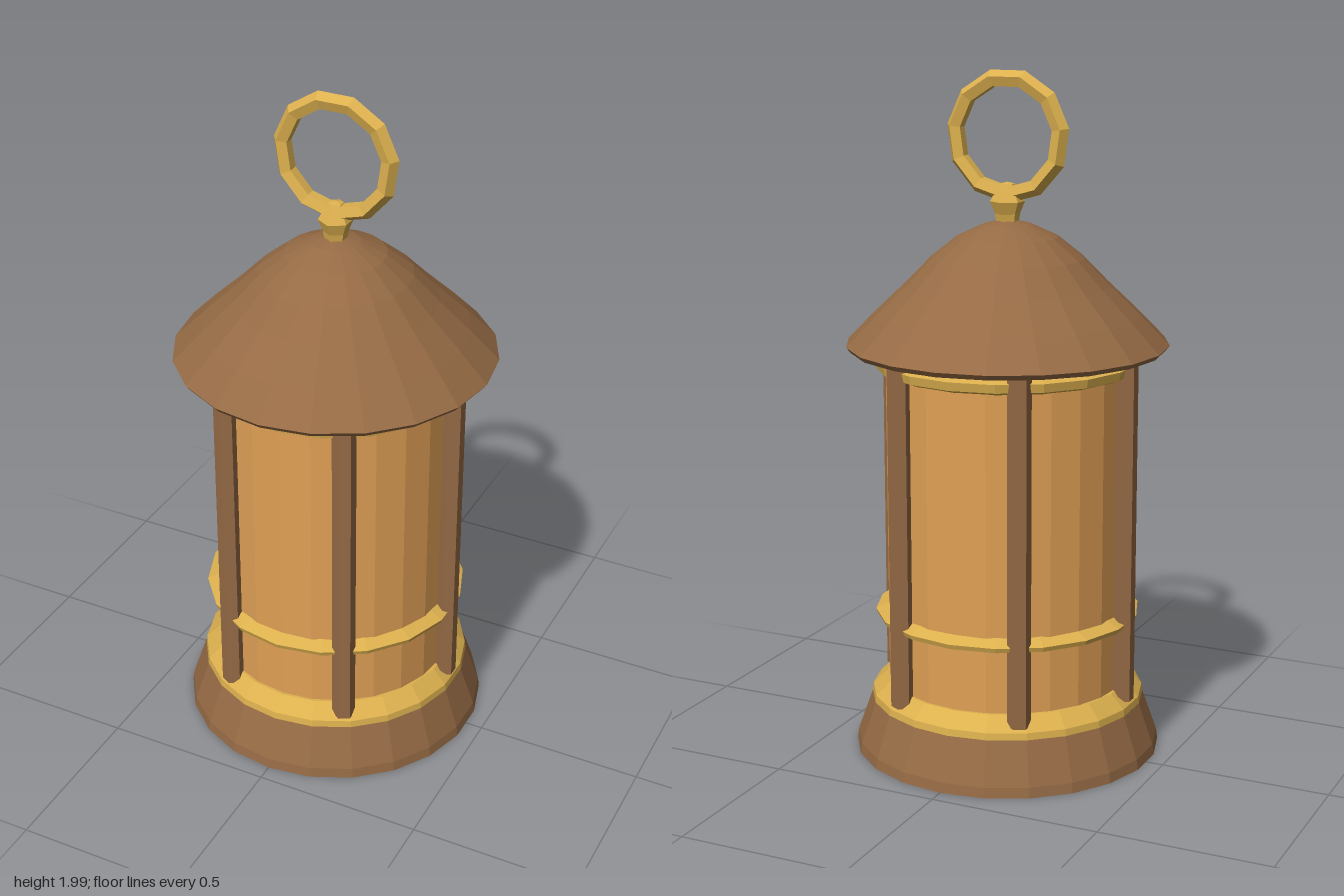
import * as THREE from 'three';

export function createModel() {
  const model = new THREE.Group();
  const material = (name, color, side = THREE.FrontSide) =>
    Object.assign(new THREE.MeshStandardMaterial({ color, flatShading: true, side }), { name });
  const wood = material('brown wood', 0x966b45);
  const brass = material('brass', 0xdcb04e);
  const amber = material('amber glass', 0xe0a055);

  const add = (name, geometry, mat, parent = model) => {
    const mesh = new THREE.Mesh(geometry, mat);
    mesh.name = name;
    parent.add(mesh);
    return mesh;
  };
  // Turned solid from [radius, height] pairs, listed from the bottom up the outside
  const turned = (name, profile, sides, mat) =>
    add(name, new THREE.LatheGeometry(profile.map(([r, y]) => new THREE.Vector2(r, y)), sides), mat);

  // Flared foot with the brass collar resting on it
  turned('base', [[0, 0], [0.452, 0], [0.448, 0.03], [0.402, 0.16], [0, 0.16]], 22, wood);
  turned('baseCollar', [[0.3, 0.155], [0.405, 0.155], [0.402, 0.175], [0.36, 0.215], [0.3, 0.215]], 22, brass);

  // Glass body
  turned('glass', [[0, 0.18], [0.352, 0.18], [0.352, 1.175], [0, 1.175]], 24, amber);

  // Thin brass bands around the glass
  turned('lowerBand', [[0.34, 0.4], [0.385, 0.408], [0.39, 0.422], [0.34, 0.445], [0.34, 0.4]], 18, brass);
  turned('upperBand', [[0.34, 1.135], [0.38, 1.15], [0.385, 1.175], [0.34, 1.188], [0.34, 1.135]], 18, brass);

  // Six upright posts
  const posts = new THREE.Group();
  posts.name = 'posts';
  model.add(posts);
  for (let i = 0; i < 6; i++) {
    const angle = (i * Math.PI) / 3;
    const post = add('post', new THREE.CylinderGeometry(0.034, 0.034, 1.03, 6), wood, posts);
    post.position.set(0.37 * Math.cos(angle), 0.7, 0.37 * Math.sin(angle));
    post.rotation.y = -angle;
  }

  // Domed roof with a flat underside
  turned('roof', [
    [0, 1.203], [0.455, 1.203], [0.467, 1.218], [0.385, 1.302], [0.295, 1.388],
    [0.22, 1.465], [0.145, 1.525], [0.07, 1.56], [0, 1.577],
  ], 20, wood);

  // Knob and hanging ring
  turned('knob', [[0, 1.56], [0.032, 1.565], [0.036, 1.59], [0.05, 1.625], [0.022, 1.675], [0, 1.68]], 6, brass);
  const ring = add('hangingRing', new THREE.TorusGeometry(0.165, 0.026, 5, 11), brass);
  ring.rotation.z = Math.PI / 22;
  ring.position.set(0, 1.809, 0);

  return model;
}
